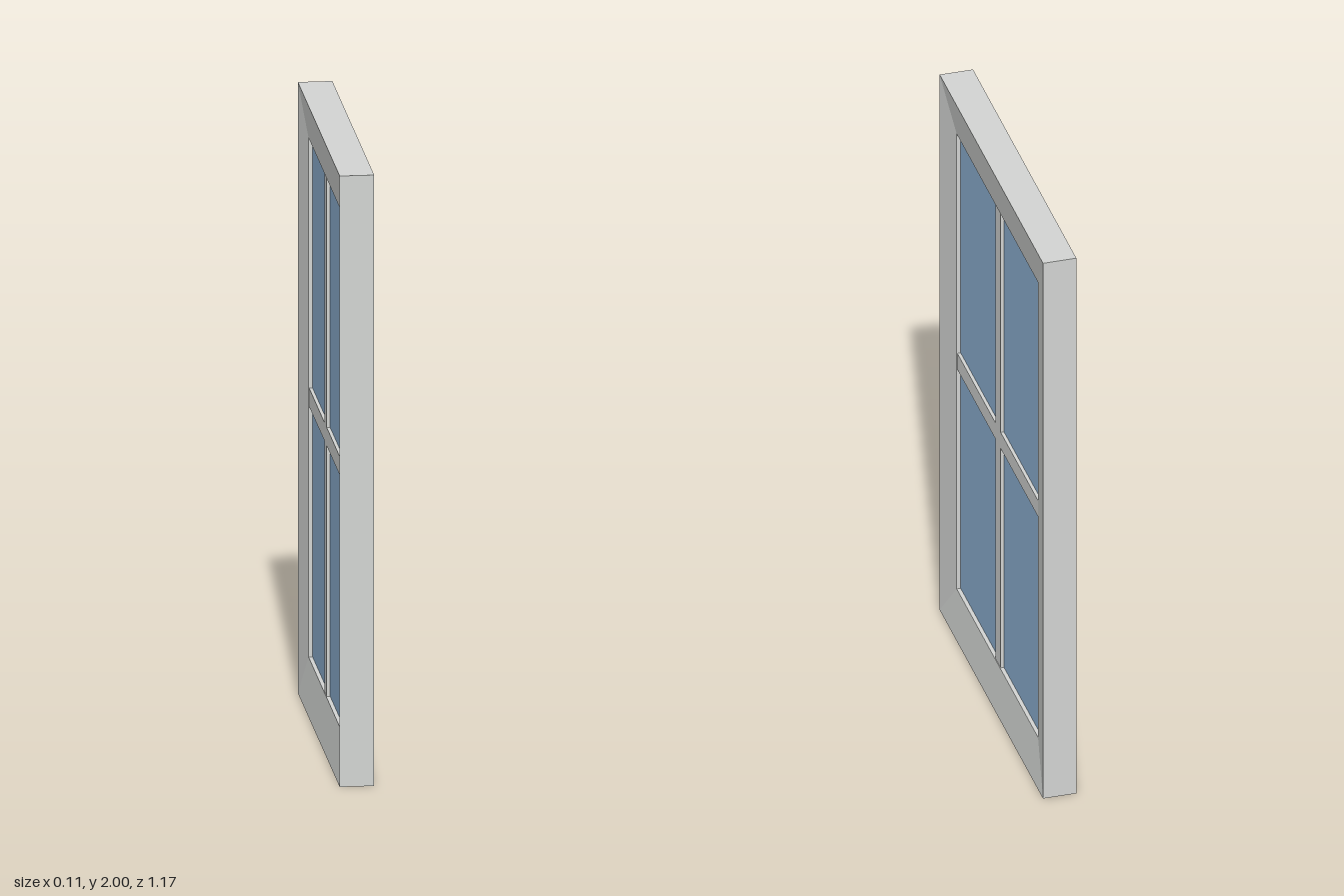
import * as THREE from 'three';

const frameMat = new THREE.MeshStandardMaterial({ name: 'paleGrey', color: 0xd2d4d2 });
const glassMat = new THREE.MeshStandardMaterial({ name: 'blueGlass', color: 0x8fb3d5 });

const HALF_W = 0.585, HEIGHT = 2;       // outer size, width runs along z
const OPEN_W = 0.46, OPEN_H = 0.85;     // half size of the opening
const OUTER_X = 0.055, LIP_X = 0.035;   // half thickness at the rim and at the opening
const BAR = 0.06, BAR_X = 0.033, GLASS_X = 0.022;
const MID = HEIGHT / 2;

// Mitred frame: four rectangular rings joined into a closed loop, bevelled on both faces
function frameGeometry() {
  const rings = [
    [OUTER_X, HALF_W, MID], [LIP_X, OPEN_W, OPEN_H],
    [-LIP_X, OPEN_W, OPEN_H], [-OUTER_X, HALF_W, MID],
  ];
  const corners = [[1, -1], [-1, -1], [-1, 1], [1, 1]];
  const point = (r, c) => {
    const [x, w, h] = rings[r % 4], [sz, sy] = corners[c % 4];
    return [x, MID + sy * h, sz * w];
  };
  const pos = [];
  for (let r = 0; r < 4; r++) {
    for (let c = 0; c < 4; c++) {
      const a = point(r, c), b = point(r, c + 1), d = point(r + 1, c + 1), e = point(r + 1, c);
      pos.push(...a, ...b, ...d, ...a, ...d, ...e);
    }
  }
  const geo = new THREE.BufferGeometry();
  geo.setAttribute('position', new THREE.Float32BufferAttribute(pos, 3));
  geo.computeVertexNormals();
  return geo;
}

function box(name, mat, sx, sy, sz, y, z) {
  const mesh = new THREE.Mesh(new THREE.BoxGeometry(sx, sy, sz), mat);
  mesh.name = name;
  mesh.position.set(0, y, z);
  return mesh;
}

export function createModel() {
  const model = new THREE.Group();
  model.name = 'window';

  const frame = new THREE.Mesh(frameGeometry(), frameMat);
  frame.name = 'frame';
  model.add(frame);

  // Crossing glazing bars; the horizontal one is split around the vertical one
  model.add(box('verticalBar', frameMat, BAR_X * 2, OPEN_H * 2, BAR, MID, 0));
  const paneW = OPEN_W - BAR / 2, paneH = OPEN_H - BAR / 2;
  for (const sz of [-1, 1]) {
    const z = sz * (BAR / 2 + paneW / 2);
    model.add(box('horizontalBar', frameMat, BAR_X * 2, BAR, paneW, MID, z));

    // Glass panes
    for (const sy of [-1, 1]) {
      const y = MID + sy * (BAR / 2 + paneH / 2);
      model.add(box('pane', glassMat, GLASS_X * 2, paneH, paneW, y, z));
    }
  }
  return model;
}
